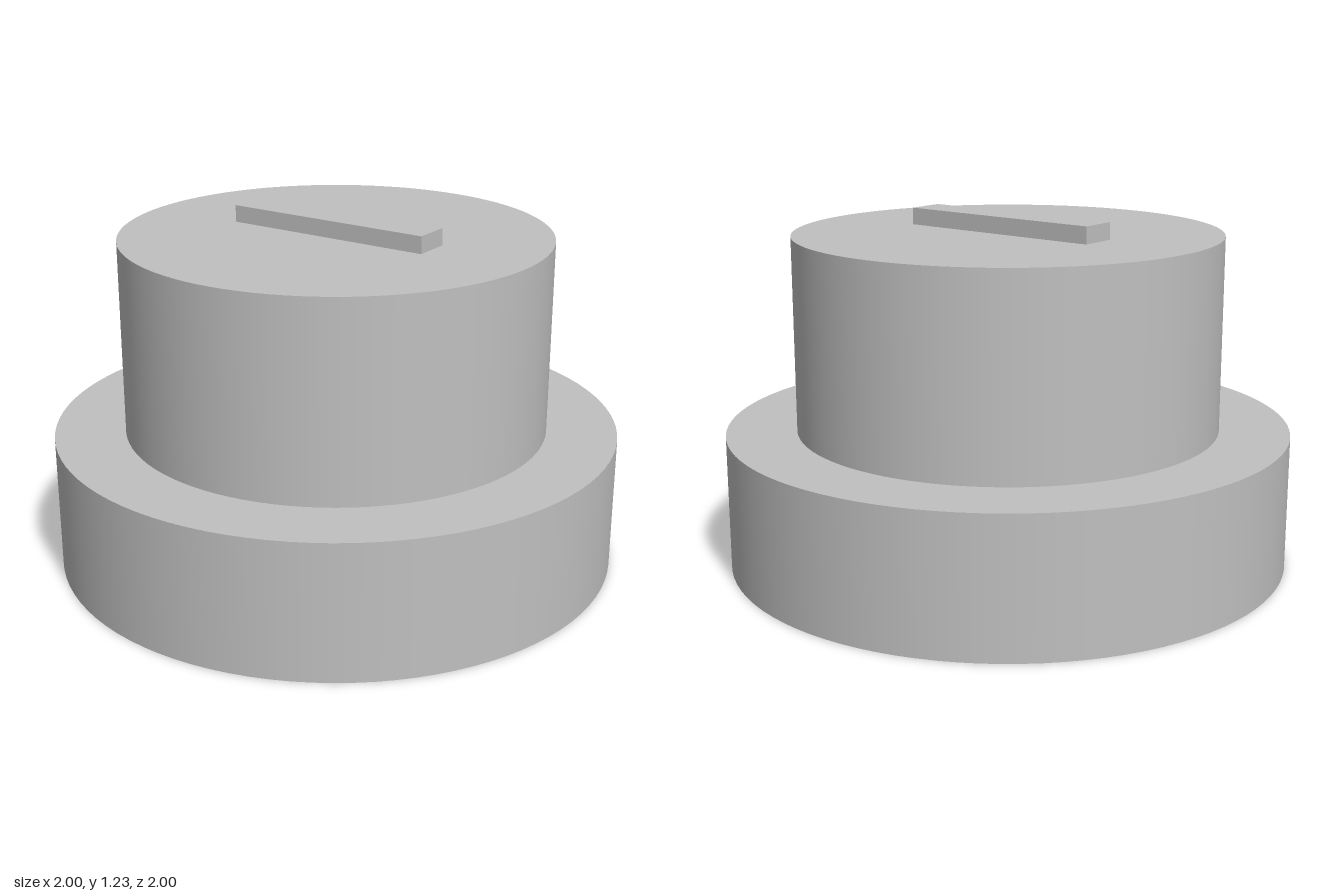
import * as THREE from 'three';

export function createModel() {
  const model = new THREE.Group();
  const grey = new THREE.MeshStandardMaterial({ color: 0xc0c0c0 });
  grey.name = 'plain grey';

  // Adds a part whose underside rests at the given height
  function add(name, geometry, bottom, height) {
    const mesh = new THREE.Mesh(geometry, grey);
    mesh.name = name;
    mesh.position.y = bottom + height / 2;
    model.add(mesh);
  }

  // Wide round foot
  add('base', new THREE.CylinderGeometry(1, 1, 0.48, 96), 0, 0.48);
  // Narrower drum on top of the foot
  add('knobBody', new THREE.CylinderGeometry(0.752, 0.752, 0.69, 96), 0.48, 0.69);
  // Raised bar across the top
  add('pointerBar', new THREE.BoxGeometry(0.77, 0.06, 0.135), 1.17, 0.06);

  return model;
}
